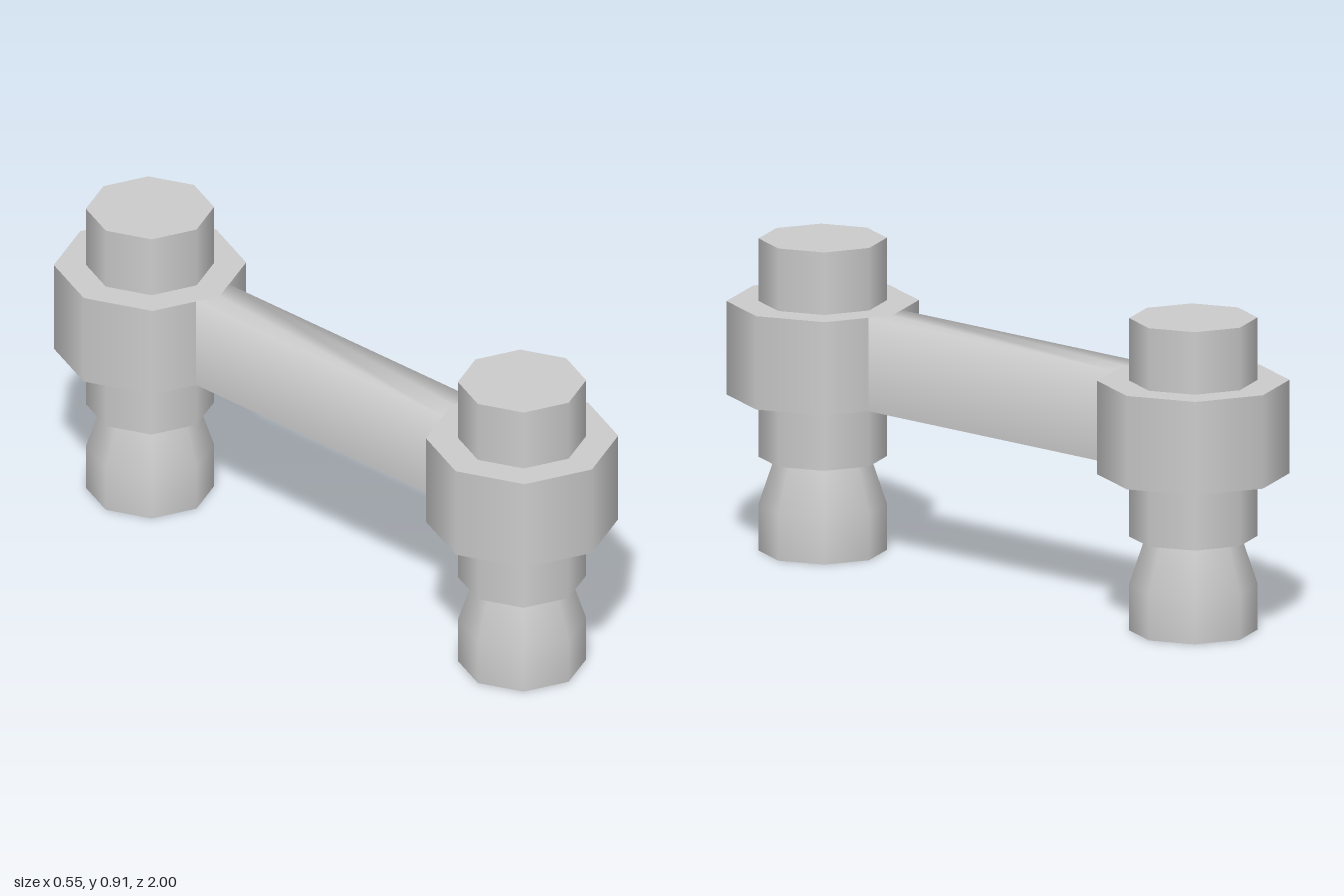
import * as THREE from 'three';

const SIDES = 8;
const material = new THREE.MeshStandardMaterial({ color: 0xcccccc });

function part(name, geometry, y = 0) {
  const mesh = new THREE.Mesh(geometry, material);
  mesh.name = name;
  mesh.position.y = y;
  return mesh;
}

// Upright octagonal drum between two heights
function drum(name, radius, y0, y1) {
  return part(name, new THREE.CylinderGeometry(radius, radius, y1 - y0, SIDES), (y0 + y1) / 2);
}

function createPost(name, z) {
  const post = new THREE.Group();
  post.name = name;
  post.position.z = z;

  // Foot: straight base tapering to a neck
  const profile = [[0.182, 0], [0.182, 0.136], [0.136, 0.273]].map(p => new THREE.Vector2(...p));
  post.add(part('foot', new THREE.LatheGeometry(profile, SIDES)));
  const sole = new THREE.CircleGeometry(0.182, SIDES);
  sole.rotateX(Math.PI / 2);
  post.add(part('sole', sole));

  // Pin running through a wider collar
  post.add(drum('pin', 0.182, 0.273, 0.909));
  post.add(drum('collar', 0.273, 0.455, 0.727));
  return post;
}

// Bar with notched ends that fit the corners of the collars
function createBar() {
  const w = 0.068, side = 0.483, tip = 0.455, height = 0.272;
  const outline = new THREE.Shape([
    [w, -side], [w, side], [0, tip], [-w, side], [-w, -side], [0, -tip],
  ].map(p => new THREE.Vector2(...p)));
  const geometry = new THREE.ExtrudeGeometry(outline, { depth: height, bevelEnabled: false });
  geometry.rotateX(-Math.PI / 2);

  // Soft shading over the two upper long edges
  const pos = geometry.attributes.position, normal = geometry.attributes.normal;
  for (let i = 0; i < pos.count; i++) {
    const isTop = normal.getY(i) > 0.9;
    const isUpperWall = Math.abs(normal.getX(i)) > 0.9 && pos.getY(i) > height / 2;
    if (!isTop && !isUpperWall) continue;
    const n = new THREE.Vector3(pos.getX(i) / w, 1, 0).normalize();
    normal.setXYZ(i, n.x, n.y, n.z);
  }
  return part('connectingBar', geometry, 0.455);
}

export function createModel() {
  const model = new THREE.Group();
  model.name = 'linkedPosts';
  model.add(createPost('frontPost', 0.727), createPost('backPost', -0.727), createBar());
  return model;
}
